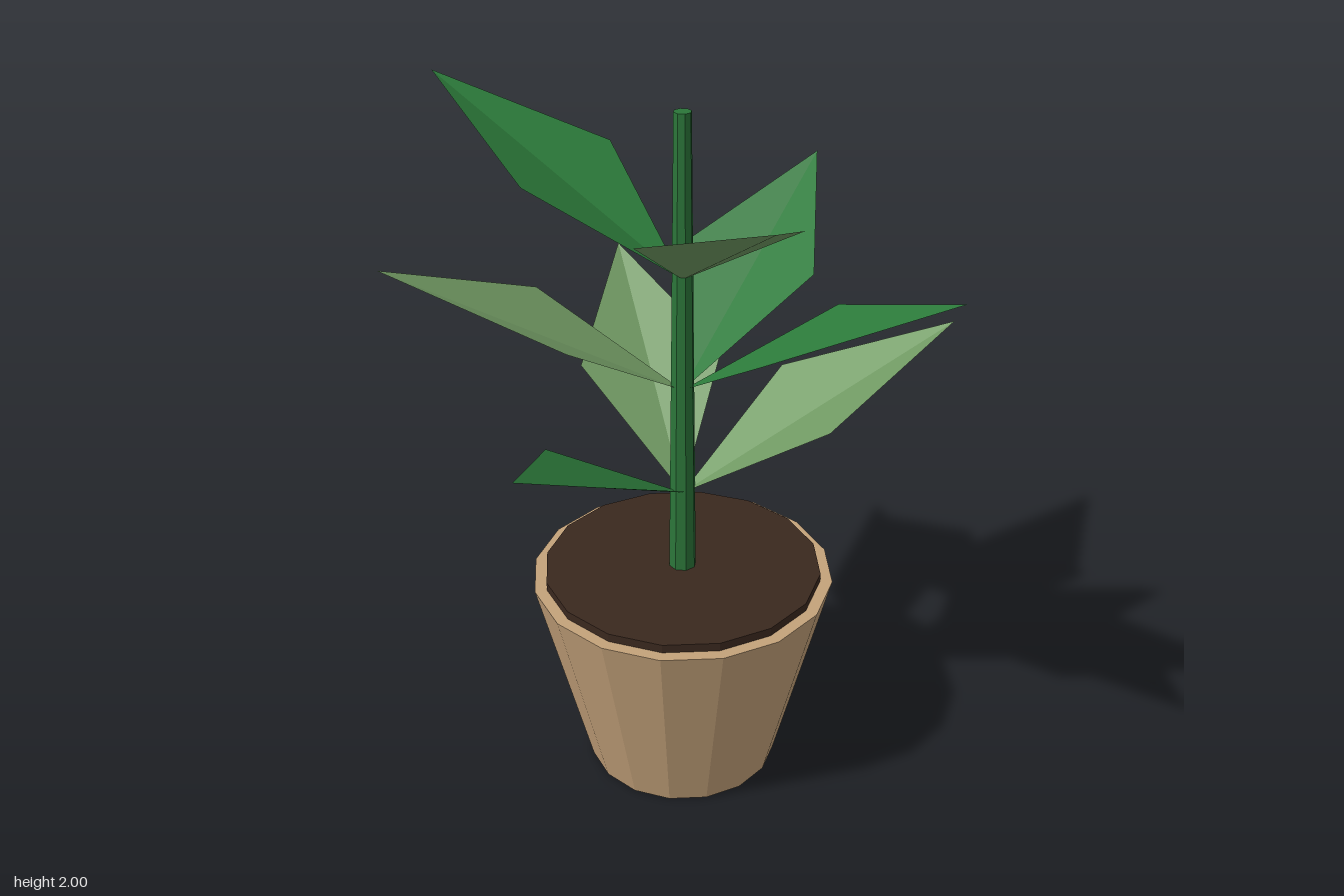
import * as THREE from 'three';

const material = (color, side = THREE.FrontSide) =>
  new THREE.MeshStandardMaterial({ color, side, flatShading: true });

// Upright, optionally tapered cylinder standing on y0
function column(name, rTop, rBottom, y0, y1, sides, mat) {
  const geometry = new THREE.CylinderGeometry(rTop, rBottom, y1 - y0, sides);
  const mesh = new THREE.Mesh(geometry, mat);
  mesh.name = name;
  mesh.position.y = (y0 + y1) / 2;
  return mesh;
}

// Leaf pointing along +x: two triangles folded upward along the midrib
function leafGeometry() {
  const base = [0, 0, 0];
  const tip = [0.786, 0.44, 0];
  const near = [0.354, 0.255, 0.212];
  const far = [0.354, 0.255, -0.212];
  const geometry = new THREE.BufferGeometry();
  const corners = [base, near, tip, base, tip, far].flat();
  geometry.setAttribute('position', new THREE.Float32BufferAttribute(corners, 3));
  geometry.computeVertexNormals();
  return geometry;
}

export function createModel() {
  const model = new THREE.Group();
  model.name = 'pottedPlant';

  // Pot, soil and stem
  model.add(
    column('pot', 0.435, 0.28, 0, 0.625, 16, material(0xc4a27a)),
    column('soil', 0.4, 0.4, 0.58, 0.65, 16, material(0x3a281e)),
    column('stem', 0.024, 0.04, 0.6, 2, 8, material(0x2b7539))
  );

  // Leaves: three tiers, each pointing a different way (degrees from +x towards -z)
  const lightGreen = material(0x729b64, THREE.DoubleSide);
  const darkGreen = material(0x2c7a3a, THREE.DoubleSide);
  const tiers = [
    { y: 0.89, angles: [0, 90, 225] },
    { y: 1.217, angles: [45, 180, 315] },
    { y: 1.545, angles: [135, 270] },
  ];
  const geometry = leafGeometry();
  const leaves = new THREE.Group();
  leaves.name = 'leaves';
  for (const { y, angles } of tiers) {
    for (const angle of angles) {
      const leaf = new THREE.Mesh(geometry, angle % 90 === 0 ? lightGreen : darkGreen);
      leaf.name = 'leaf';
      leaf.position.y = y;
      leaf.rotation.y = THREE.MathUtils.degToRad(angle);
      leaves.add(leaf);
    }
  }
  model.add(leaves);
  return model;
}
